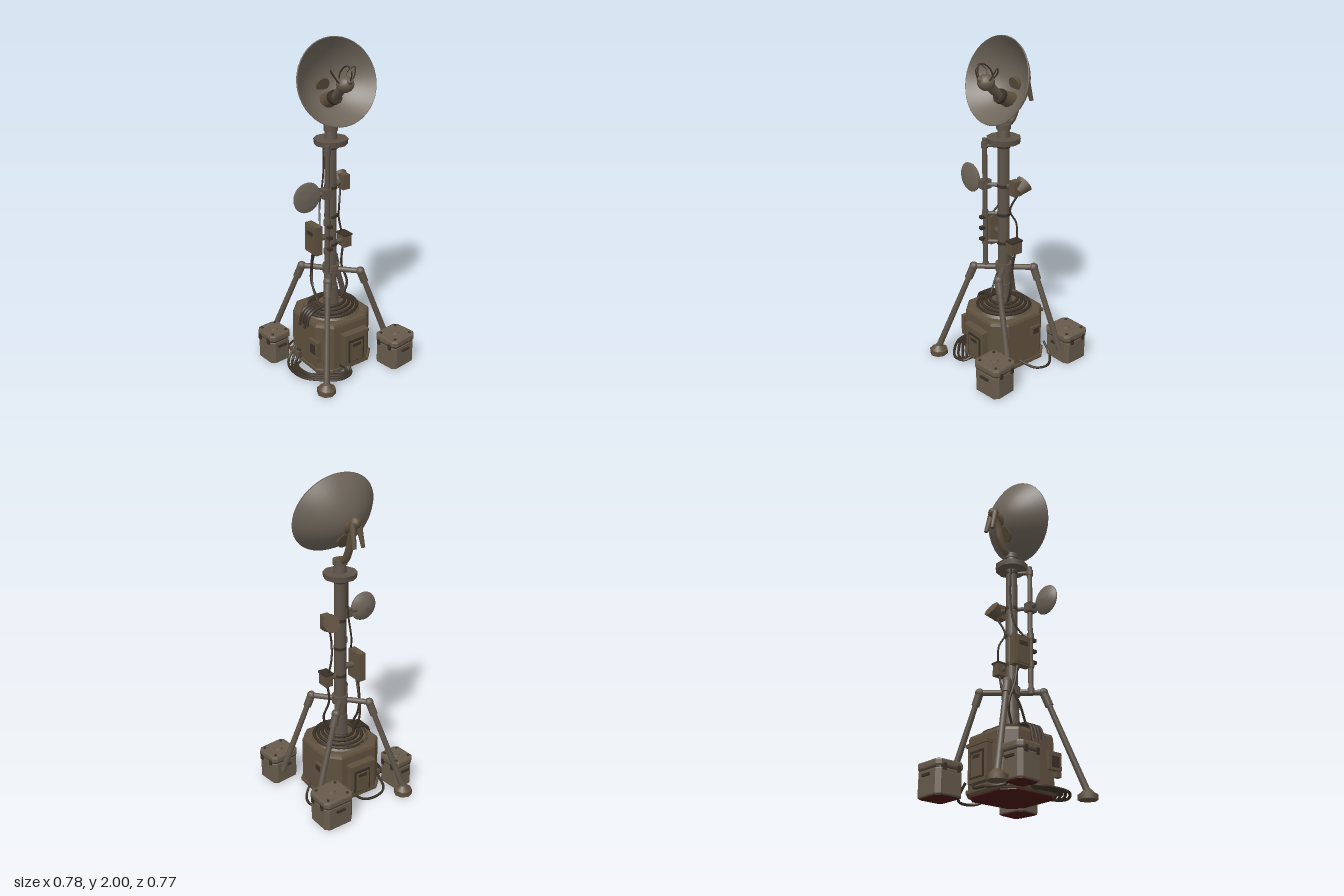
import * as THREE from 'three';

const mat = (name, color, side = THREE.FrontSide) => {
  const m = new THREE.MeshStandardMaterial({ color, side });
  m.name = name;
  return m;
};
const V = (x, y, z) => new THREE.Vector3(x, y, z);

export function createModel() {
  const root = new THREE.Group();
  root.name = 'dishMastStation';
  const hull = mat('hullBrown', 0x5e503e);
  const pole = mat('poleGrey', 0x5d5348);
  const dishMat = mat('dishGrey', 0x6e655a, THREE.DoubleSide);
  const crateMat = mat('crateBrown', 0x665a4b);
  const dark = mat('darkTrim', 0x3a3026);
  const red = mat('undersideRed', 0x4a1616);

  // ---- helpers ----
  const add = (parent, name, geo, m, x = 0, y = 0, z = 0) => {
    const mesh = new THREE.Mesh(geo, m);
    mesh.name = name;
    mesh.position.set(x, y, z);
    parent.add(mesh);
    return mesh;
  };
  const box = (p, name, m, w, h, d, x, y, z) => add(p, name, new THREE.BoxGeometry(w, h, d), m, x, y, z);
  const cyl = (p, name, m, r1, r2, h, x, y, z, n = 16) => add(p, name, new THREE.CylinderGeometry(r1, r2, h, n), m, x, y, z);
  const rod = (p, name, m, a, b, r1, r2 = r1, n = 12) => {
    const d = b.clone().sub(a);
    const c = a.clone().add(b).multiplyScalar(0.5);
    const mesh = cyl(p, name, m, r2, r1, d.length(), c.x, c.y, c.z, n);
    mesh.quaternion.setFromUnitVectors(V(0, 1, 0), d.normalize());
    return mesh;
  };
  const cable = (p, name, pts, r = 0.007, m = dark) =>
    add(p, name, new THREE.TubeGeometry(new THREE.CatmullRomCurve3(pts.map(q => V(...q))), 40, r, 6), m);
  // upright block with cut corners and bevelled top and bottom edges
  const block = (w, h, d, cut, bevel) => {
    const a = w / 2 - bevel, b = d / 2 - bevel, s = new THREE.Shape();
    [[-a + cut, -b], [a - cut, -b], [a, -b + cut], [a, b - cut], [a - cut, b], [-a + cut, b], [-a, b - cut], [-a, -b + cut]]
      .forEach(([x, y], i) => (i ? s.lineTo(x, y) : s.moveTo(x, y)));
    s.closePath();
    const g = new THREE.ExtrudeGeometry(s, { depth: h - 2 * bevel, bevelSize: bevel, bevelThickness: bevel, bevelSegments: 2 });
    return g.rotateX(-Math.PI / 2).translate(0, bevel, 0);
  };

  // ---- base housing ----
  const base = new THREE.Group();
  base.name = 'baseHousing';
  root.add(base);
  add(base, 'housingBody', block(0.4, 0.335, 0.4, 0.065, 0.022), hull, 0, 0.015, 0);
  add(base, 'housingUnderside', block(0.37, 0.008, 0.37, 0.06, 0.002), red, 0, 0.008, 0);
  add(base, 'lowerRim', block(0.412, 0.025, 0.412, 0.068, 0.005), hull, 0, 0.025, 0);
  cyl(base, 'topDeck', hull, 0.165, 0.18, 0.02, 0, 0.355, 0, 24);
  for (const [r, y] of [[0.16, 0.365], [0.135, 0.375], [0.11, 0.388], [0.085, 0.4]]) {
    const coil = add(base, 'cableCoil', new THREE.TorusGeometry(r, 0.01, 6, 28), dark, 0, y, 0);
    coil.rotation.set(Math.PI / 2 + 0.04, 0.04, 0);
  }
  for (const s of [1, -1]) {
    const z = s > 0 ? -0.015 : 0;
    box(base, 'sidePanel', hull, 0.045, 0.2, 0.16, s * 0.215, 0.165, z);
    box(base, 'sidePanelFrame', dark, 0.006, 0.15, 0.115, s * 0.238, 0.16, z);
    box(base, 'sidePanelDoor', hull, 0.012, 0.125, 0.09, s * 0.24, 0.155, z);
    box(base, 'sidePanelHood', hull, 0.06, 0.018, 0.18, s * 0.218, 0.272, z);
    box(base, 'sideVent', dark, 0.006, 0.02, 0.06, s * 0.244, 0.2, z);
  }
  box(base, 'frontBox', hull, 0.09, 0.1, 0.03, 0.12, 0.195, 0.205);
  box(base, 'frontBoxDoor', dark, 0.05, 0.06, 0.008, 0.12, 0.19, 0.22);
  box(base, 'frontLatch', hull, 0.035, 0.03, 0.03, 0.145, 0.125, 0.205);
  box(base, 'frontDuct', hull, 0.09, 0.03, 0.03, -0.08, 0.07, 0.21);
  box(base, 'rearBox', hull, 0.07, 0.06, 0.02, -0.08, 0.24, -0.205);
  box(base, 'rearBoxDoor', dark, 0.045, 0.035, 0.006, -0.08, 0.24, -0.215);
  for (let i = 0; i < 4; i++) cable(base, 'frontDropCable', [[-0.03 + i * 0.022, 0.4, 0.09], [-0.03 + i * 0.024, 0.375, 0.18], [-0.03 + i * 0.025, 0.28 + (i % 2) * 0.02, 0.21]], 0.009);

  // ---- cables on the ground ----
  for (let i = 0; i < 4; i++) {
    const o = i * 0.018;
    cable(root, 'groundCable', [[-0.1 + o, 0.1, 0.2], [-0.085 + o, 0.03, 0.26 - o], [-0.01, 0.02, 0.3 - o], [0.12, 0.02, 0.295 - o],
      [0.22 - o, 0.025, 0.22 - o], [0.285 - o, 0.03, 0.12 - o], [0.27 - o, 0.04, 0.045], [0.2, 0.07, 0.03 + o]], 0.0085);
  }
  cable(root, 'rearCable', [[-0.19, 0.1, -0.16], [-0.19, 0.03, -0.22], [-0.11, 0.02, -0.29], [-0.03, 0.025, -0.27], [0.04, 0.07, -0.19]], 0.008);
  cable(root, 'rightCable', [[-0.2, 0.09, -0.08], [-0.255, 0.03, 0], [-0.265, 0.02, 0.09], [-0.22, 0.02, 0.18], [-0.12, 0.07, 0.2]], 0.008);

  // ---- mast and side pole ----
  cyl(root, 'mast', pole, 0.034, 0.036, 1.06, 0, 0.89, 0, 16);
  cyl(root, 'mastSleeve', pole, 0.042, 0.05, 0.16, 0, 0.43, 0);
  cyl(root, 'mastCollar', pole, 0.05, 0.05, 0.05, 0, 0.62, 0);
  rod(root, 'sidePole', pole, V(0.075, 0.6, 0.08), V(0.075, 1.42, 0.08), 0.015);
  for (const y of [0.62, 0.78, 0.96, 1.14, 1.38]) {
    rod(root, 'poleBracket', pole, V(0, y, 0), V(0.075, y, 0.08), 0.012);
    cyl(root, 'poleClamp', pole, 0.021, 0.021, 0.035, 0.075, y, 0.08, 10);
    cyl(root, 'mastBand', dark, 0.039, 0.039, 0.018, 0, y, 0);
  }
  add(root, 'topPlate', new THREE.CylinderGeometry(0.1, 0.096, 0.032, 10), pole, 0, 1.417, 0);
  cyl(root, 'neck', pole, 0.032, 0.04, 0.07, 0, 1.46, 0);
  cyl(root, 'neckBearing', pole, 0.042, 0.042, 0.03, 0, 1.495, 0);

  // mast cables
  cable(root, 'mastCable', [[-0.05, 0.4, 0.06], [-0.09, 0.5, 0.08], [-0.06, 0.64, 0.1], [-0.04, 0.76, 0.1]], 0.007);
  cable(root, 'mastCable', [[0.02, 0.4, 0.1], [-0.03, 0.5, 0.11], [-0.07, 0.62, 0.09], [-0.02, 0.76, 0.1]], 0.007);
  cable(root, 'mastCable', [[0.02, 0.4, -0.06], [0.03, 0.5, -0.1], [0.0, 0.62, -0.08], [-0.01, 0.76, -0.1]], 0.007);
  cable(root, 'mastCable', [[-0.02, 0.8, -0.1], [-0.03, 0.92, -0.08], [0.0, 1.0, -0.06], [-0.04, 1.12, -0.1]], 0.006);
  cable(root, 'mastCable', [[0.03, 0.92, 0.1], [-0.03, 1.02, 0.06], [-0.035, 1.2, 0.03], [-0.03, 1.4, 0.03]], 0.006);

  // ---- equipment on the mast ----
  box(root, 'controlBox', hull, 0.115, 0.18, 0.045, -0.025, 0.83, 0.105);
  box(root, 'controlBoxDoor', hull, 0.095, 0.16, 0.01, -0.025, 0.83, 0.13);
  box(root, 'controlBoxLabel', dark, 0.06, 0.025, 0.006, -0.025, 0.87, 0.134);
  rod(root, 'controlBoxMount', pole, V(0, 0.83, 0), V(-0.01, 0.83, 0.09), 0.018);
  box(root, 'rearBox', hull, 0.075, 0.075, 0.05, 0, 0.78, -0.1);
  box(root, 'rearBoxLid', dark, 0.085, 0.01, 0.06, 0, 0.82, -0.1);
  rod(root, 'rearBoxMount', pole, V(0, 0.78, 0), V(0, 0.78, -0.08), 0.014);
  for (let i = 0; i < 3; i++) box(root, 'poleFitting', dark, 0.03, 0.018, 0.025, 0.098, 0.8 + i * 0.07, 0.08);
  // rear horn
  rod(root, 'hornMount', pole, V(0, 1.14, 0), V(-0.02, 1.15, -0.1), 0.016);
  rod(root, 'horn', hull, V(-0.01, 1.13, -0.105), V(-0.07, 1.165, -0.105), 0.035, 0.055, 10);
  box(root, 'hornBody', hull, 0.05, 0.09, 0.05, -0.005, 1.15, -0.1);
  // small round dish
  const small = new THREE.Group();
  small.name = 'smallDish';
  small.position.set(0.075, 1.145, 0.22);
  small.rotation.z = -Math.PI / 2;
  root.add(small);
  add(small, 'smallDishBowl', new THREE.LatheGeometry([[0.0001, -0.035], [0.05, -0.028], [0.086, -0.006], [0.09, 0.003], [0.085, 0.008], [0.05, 0.015], [0.0001, 0.018]].map(p => new THREE.Vector2(...p)), 24), dishMat);
  rod(root, 'smallDishArm', pole, V(0.06, 1.14, 0.22), V(0.07, 1.14, 0.08), 0.014);
  box(root, 'smallDishBracket', pole, 0.06, 0.055, 0.05, 0.07, 1.14, 0.09);

  // ---- legs ----
  for (const sx of [1, -1]) for (const sz of [1, -1]) {
    const front = sz > 0;
    const elbow = V(sx * 0.135, 0.615, sz * 0.12);
    const foot = front ? V(sx * 0.315, 0.05, 0.26) : V(sx * 0.2, 0.1, -0.3);
    const leg = new THREE.Group();
    leg.name = front ? 'frontLeg' : 'rearLeg';
    root.add(leg);
    rod(leg, 'legArm', pole, V(0, 0.615, 0), elbow, 0.017);
    add(leg, 'legElbow', new THREE.SphereGeometry(0.027, 12, 8), pole, elbow.x, elbow.y, elbow.z);
    rod(leg, 'legSleeve', pole, elbow, elbow.clone().lerp(foot, 0.14), 0.024);
    rod(leg, 'legTube', pole, elbow, foot, 0.016, 0.019);
    if (front) {
      cyl(leg, 'footCone', hull, 0.022, 0.05, 0.03, foot.x, 0.05, 0.26, 8);
      cyl(leg, 'footPad', hull, 0.056, 0.056, 0.03, foot.x, 0.022, 0.26, 8);
    }
  }

  // ---- crates ----
  for (const [x, z, w, d, turn] of [[-0.29, -0.257, 0.187, 0.205, 0.03], [0.288, -0.278, 0.175, 0.195, 0.13], [-0.19, 0.298, 0.168, 0.15, 0.08]]) {
    const crate = new THREE.Group();
    crate.name = 'crate';
    crate.position.set(x, 0.015, z);
    crate.rotation.y = turn;
    root.add(crate);
    add(crate, 'crateBody', block(w - 0.008, 0.145, d - 0.008, 0.02, 0.006), crateMat);
    add(crate, 'crateUnderside', block(w - 0.03, 0.006, d - 0.03, 0.018, 0.002), red, 0, -0.004, 0);
    add(crate, 'crateSeam', block(w - 0.016, 0.012, d - 0.016, 0.018, 0.002), dark, 0, 0.142, 0);
    add(crate, 'crateLid', block(w, 0.042, d, 0.018, 0.01), crateMat, 0, 0.151, 0);
    cyl(crate, 'lidCap', crateMat, 0.022, 0.026, 0.01, 0, 0.196, 0, 8);
    for (const sx of [1, -1]) {
      for (const sz of [1, -1]) cyl(crate, 'lidStud', dark, 0.008, 0.009, 0.008, sx * w * 0.33, 0.195, sz * d * 0.33, 8);
      box(crate, 'crateHandle', dark, 0.012, 0.014, 0.06, sx * w * 0.505, 0.115, 0);
      for (const sz of [1, -1]) box(crate, 'crateLatch', dark, 0.02, 0.035, 0.01, sx * w * 0.25, 0.15, sz * d * 0.5);
    }
  }

  // ---- dish arm ----
  cable(root, 'dishArm', [[0.01, 1.5, 0], [-0.05, 1.52, 0], [-0.085, 1.58, 0], [-0.11, 1.67, 0], [-0.145, 1.76, 0]], 0.023, hull);
  add(root, 'armKnuckle', new THREE.SphereGeometry(0.034, 12, 8), hull, -0.145, 1.755, 0);
  rod(root, 'dishLink', hull, V(-0.14, 1.74, 0), V(-0.075, 1.72, 0), 0.028, 0.045);
  for (const s of [1, -1]) rod(root, 'armStrut', hull, V(-0.145, 1.755, s * 0.02), V(-0.178, 1.62, s * 0.03), 0.02, 0.012, 8);

  // ---- main dish, opening towards +x and slightly up ----
  const dish = new THREE.Group();
  dish.name = 'mainDish';
  dish.position.set(0.057, 1.765, -0.005);
  dish.quaternion.setFromUnitVectors(V(0, 1, 0), V(0.955, 0.295, 0).normalize());
  dish.scale.x = 0.93;
  root.add(dish);
  const R = 0.265, depth = 0.16, outer = [], inner = [];
  for (let i = 0; i <= 10; i++) {
    const r = Math.max(0.0001, (R * i) / 10), y = -depth * (1 - (i / 10) ** 2);
    outer.push(new THREE.Vector2(r, y - 0.004));
    inner.unshift(new THREE.Vector2(r * 0.985, y + 0.004));
  }
  add(dish, 'dishBack', new THREE.LatheGeometry(outer, 40), dishMat);
  add(dish, 'dishBowl', new THREE.LatheGeometry(inner, 40), dishMat);
  const rim = add(dish, 'dishRim', new THREE.TorusGeometry(R - 0.002, 0.004, 6, 40), dishMat);
  rim.rotation.x = Math.PI / 2;
  // feed horn
  rod(dish, 'feedBase', hull, V(0.1, -0.15, 0), V(0.085, -0.05, 0), 0.052, 0.04);
  rod(dish, 'feedCollar', dark, V(0.087, -0.065, 0), V(0.083, -0.045, 0), 0.046);
  rod(dish, 'feedNeck', pole, V(0.085, -0.05, 0), V(0.03, 0.05, 0), 0.026, 0.03);
  add(dish, 'feedHead', new THREE.SphereGeometry(0.05, 14, 10), crateMat, 0.022, 0.065, 0);
  rod(dish, 'feedTip', crateMat, V(0.02, 0.07, 0), V(0.01, 0.128, 0), 0.042, 0.008);
  // wire loops above the feed
  for (const s of [1, -1]) {
    cable(root, 'feedLoop', [[0.1, 1.77, s * 0.02], [0.08, 1.82, s * 0.05], [0.11, 1.85, s * 0.08], [0.13, 1.8, s * 0.06], [0.13, 1.77, s * 0.03]], 0.004);
  }
  cable(root, 'feedLoop', [[0.07, 1.77, 0], [0.09, 1.83, 0], [0.15, 1.87, 0], [0.187, 1.85, 0], [0.18, 1.8, 0], [0.15, 1.77, 0]], 0.004);
  return root;
}
